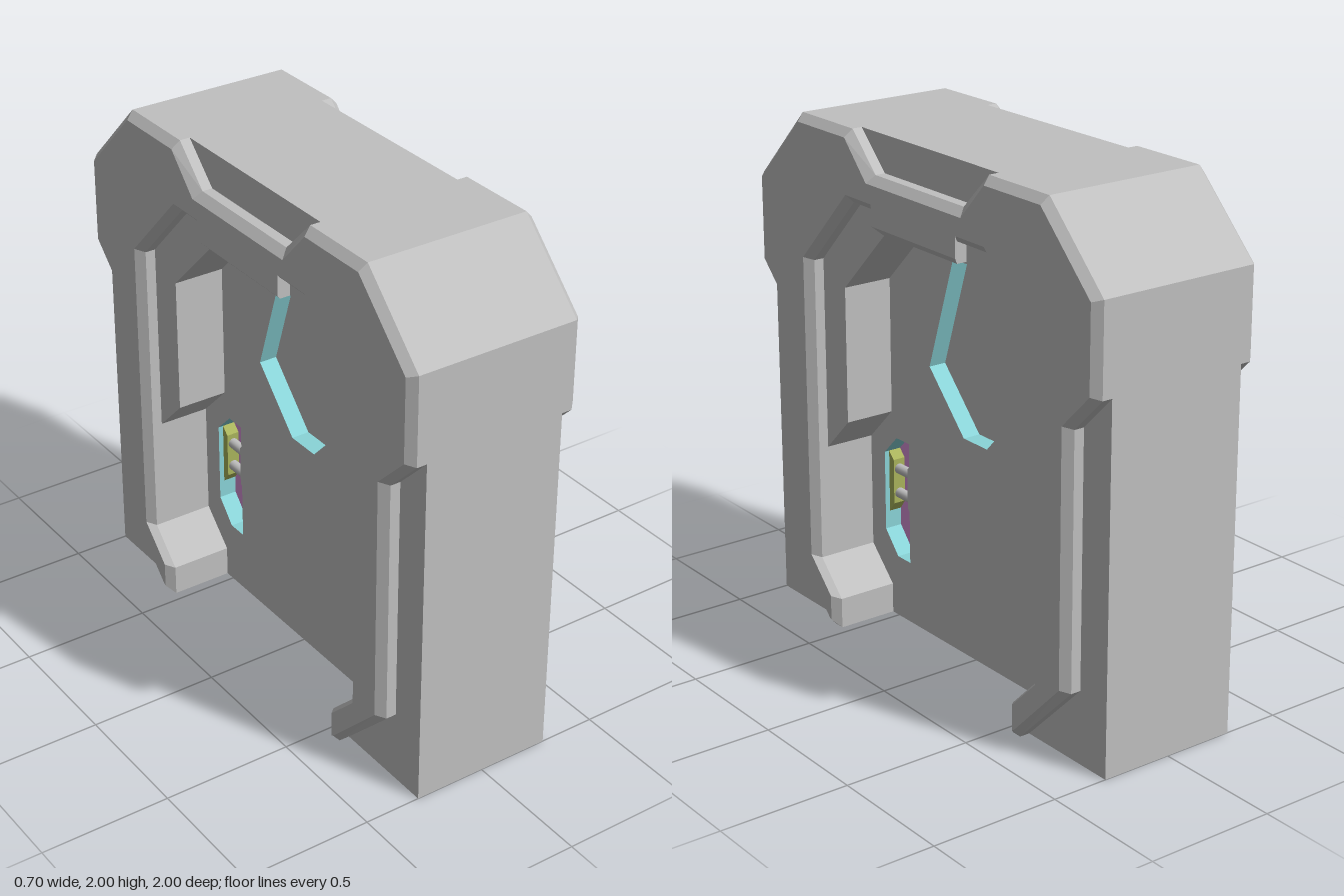
import * as THREE from 'three';

const mat = (name, color) => {
  const m = new THREE.MeshStandardMaterial({ color });
  m.name = name;
  return m;
};
const flip = (pts) => pts.map(([u, y]) => [-u, y]);
// Mirrors a half outline into a closed one
const closed = (half) => [...half, ...flip(half).reverse()];
const vecs = (pts) => pts.map(([u, y]) => new THREE.Vector2(u, y));

function extrude(pts, from, to, holes = []) {
  const shape = new THREE.Shape(vecs(pts));
  for (const h of holes) shape.holes.push(new THREE.Path(vecs(h)));
  const g = new THREE.ExtrudeGeometry(shape, { depth: to - from, bevelEnabled: false });
  return g.translate(0, 0, from);
}

// Walls through matching outlines at rising depths, closed by a cap on the last
function loft(sections) {
  const pos = [];
  const n = sections[0].pts.length;
  for (let s = 0; s < sections.length - 1; s++) {
    const A = sections[s], B = sections[s + 1];
    for (let i = 0; i < n; i++) {
      const j = (i + 1) % n;
      const a = [...A.pts[i], A.d], b = [...A.pts[j], A.d];
      const c = [...B.pts[j], B.d], d = [...B.pts[i], B.d];
      pos.push(...a, ...b, ...c, ...a, ...c, ...d);
    }
  }
  const top = sections[sections.length - 1];
  for (const f of THREE.ShapeUtils.triangulateShape(vecs(top.pts), []))
    for (const i of f) pos.push(...top.pts[i], top.d);
  const g = new THREE.BufferGeometry();
  g.setAttribute('position', new THREE.Float32BufferAttribute(pos, 3));
  g.computeVertexNormals();
  return g;
}

export function createModel() {
  const gray = mat('gray metal', 0xc0c0c0);
  const cyan = mat('cyan edge', 0x8ad4d8);
  const pink = mat('pink backing', 0xd693d6);
  const olive = mat('olive mount', 0xaab45c);

  // Outlines as [across, up]
  const opening = [[0.54, 0], [0.54, 0.12], [0.67, 0.25], [0.67, 0.7],
    [0.53, 0.84], [0.53, 1.37], [0.25, 1.65]];
  const bodyOuter = [[1, 0], [1, 1.72], [0.72, 2]];
  const trimOuter = [[0.58, 0], [0.86, 0.28], [0.86, 1.24], [1, 1.38],
    [1, 1.72], [0.72, 2], [0.4, 2], [0.26, 1.86]];
  const trimInner = [[0.54, 0], [0.54, 0.12], [0.67, 0.25], [0.67, 1.45],
    [0.4, 1.73], [0.22, 1.73], [0.22, 1.65]];
  const trimOuterTop = [[0.58, 0.035], [0.83, 0.29], [0.83, 1.25], [0.97, 1.39],
    [0.97, 1.71], [0.71, 1.97], [0.41, 1.97], [0.28, 1.83]];
  const trimInnerTop = [[0.57, 0.03], [0.57, 0.13], [0.7, 0.26], [0.7, 1.46],
    [0.41, 1.76], [0.25, 1.76], [0.25, 1.68]];
  const arch = (outer, inner) => [...closed(outer), ...flip(inner), ...[...inner].reverse()];
  const windowHex = closed([[0.07, 0.87], [0.28, 1.09], [0.13, 1.54]]);
  const slot = [[0.42, 0.25], [0.5, 0.25], [0.58, 0.34], [0.58, 0.66], [0.5, 0.74], [0.42, 0.74]];
  const innerMount = [[0.42, 0.41], [0.46, 0.46], [0.46, 0.62], [0.42, 0.66]];
  const outerMount = [[0.58, 0.41], [0.58, 0.66], [0.55, 0.63], [0.55, 0.45]];

  function createSide() {
    const side = new THREE.Group();
    const add = (name, geometry, material) => {
      const m = new THREE.Mesh(geometry, material);
      m.name = name;
      side.add(m);
      return m;
    };

    add('frameBody', extrude(arch(bodyOuter, opening), 0, 0.28), gray);

    // Raised, bevelled trim around the opening
    const base = arch(trimOuter, trimInner);
    add('frameTrim', loft([
      { pts: base, d: 0.28 }, { pts: base, d: 0.32 },
      { pts: arch(trimOuterTop, trimInnerTop), d: 0.35 },
    ]), gray);

    // Door panel: gray faces, cyan cut edges
    add('doorPanel', extrude(closed(opening), 0, 0.08, [windowHex, slot, flip(slot)]), [gray, cyan]);
    add('windowFloor', extrude(windowHex, 0, 0.009), gray);

    // Latch recesses with mounts and rods
    for (const s of [1, -1]) {
      const at = (pts) => (s > 0 ? pts : flip(pts));
      add('latchBacking', extrude(at(slot), 0, 0.009), pink);
      add('latchInnerMount', extrude(at(innerMount), 0.005, 0.06), gray);
      add('latchOuterMount', extrude(at(outerMount), 0.005, 0.06), olive);
      for (const y of [0.49, 0.59]) {
        const rod = add('latchRod', new THREE.CylinderGeometry(0.02, 0.02, 0.11, 16), gray);
        rod.rotation.z = Math.PI / 2;
        rod.position.set(s * 0.505, y, 0.035);
      }
    }
    return side;
  }

  const model = new THREE.Group();
  model.name = 'doorway';
  for (const s of [1, -1]) {
    const side = createSide();
    side.name = s > 0 ? 'leftSide' : 'rightSide';
    side.rotation.y = (s * Math.PI) / 2;
    model.add(side);
  }
  return model;
}
